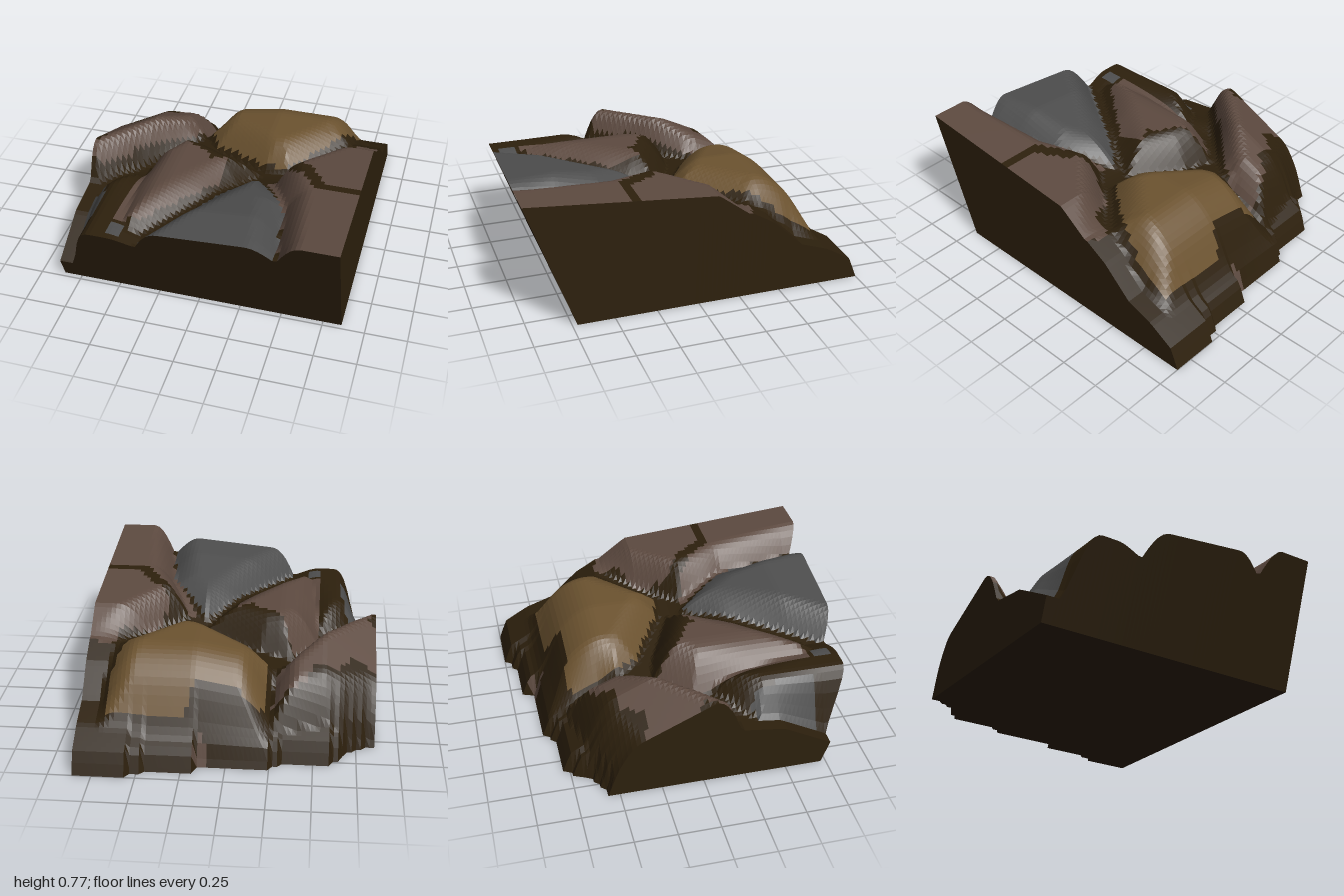
import * as THREE from 'three';

const W = 0.86, FOOT = 0.72, LEAN = 0.364, NX = 64, NZ = 76;

// Stepped rear outline: [x start, z]
const REAR = [[-0.86, -0.57], [-0.79, -0.6], [-0.75, -0.63], [-0.69, -0.68], [-0.65, -0.74], [-0.61, -0.79],
  [-0.32, -0.82], [-0.25, -0.86], [0.17, -0.93], [0.46, -0.96], [0.54, -1]];
// Rise of the ground with distance from the rear edge
const SKIRT = [[0, 0], [0.05, 0.13], [0.2, 0.22], [0.37, 0.28], [0.55, 0.45], [0.8, 0.6]];
// Floor of the gully at the left front, by z
const GULLY = [[-0.1, 0.4], [0.2, 0.34], [0.48, 0.3], [0.77, 0.14], [1, 0.14]];

// Each rock: foot outline (x, z), top surface and width of the rounded sides
const ROCKS = [
  { foot: [[-0.24, -0.84], [0.75, -0.85], [0.74, -0.58], [0.69, -0.35], [0.36, 0], [0.2, -0.02], [-0.17, -0.24], [-0.25, -0.36]],
    top: (x, z) => 0.605 - 2.6 * Math.max(0, -z - 0.43) ** 2 - 0.18 * Math.max(0, 0.2 - x), w: 0.2 },
  { foot: [[-1.2, -0.5], [-0.86, -0.53], [-0.7, -0.62], [-0.24, -0.72], [-0.25, -0.37], [-0.42, -0.17], [-0.8, 0.22], [-1.2, 0.22]],
    top: (x, z) => 0.61 - 0.7 * Math.max(0, -0.74 * (x + 0.35) - 0.67 * (z + 0.4)) - 0.5 * Math.max(0, x + 0.56), w: 0.17 },
  { foot: [[-0.52, 0.02], [-0.35, -0.2], [-0.15, -0.15], [0.2, 0.02], [0.1, 0.2], [-0.38, 0.84], [-0.52, 0.76]],
    top: (x) => Math.min(0.6, 0.6 + 0.2 * (x + 0.28)), w: 0.19 },
  { foot: [[0.2, 0.08], [0.42, 0.42], [0.5, 0.9], [0.5, 1.3], [-0.6, 1.3], [0.1, 0.25]],
    top: (x, z) => 0.663 + 0.09 * x - 0.18 * Math.max(0, 0.7 - z), w: 0.17 },
  { foot: [[0.5, 1.3], [0.5, 0.9], [0.45, 0.45], [0.31, 0.14], [0.42, 0], [0.7, -0.3], [0.72, -0.7], [1.3, -0.7], [1.3, 1.3]],
    top: (x, z) => Math.min(0.77 - 0.09 * (1 - z), 0.67 + 0.75 * (z + 0.11)), w: 0.15 },
  { foot: [[-0.77, 0.36], [-0.7, 0.27], [-0.5, 0.12], [-0.32, 0.8], [-0.32, 1.3], [-0.77, 1.3]],
    top: () => 0.52, w: 0.18 },
];

// Coloured patches on the surface (x, z)
const PATCHES = [
  ['goldRock', [[-0.2, -0.68], [0.18, -0.65], [0.24, -0.77], [0.71, -0.76], [0.71, -0.58], [0.65, -0.43], [0.59, -0.32], [0.35, -0.03], [0.2, -0.05], [-0.15, -0.25], [-0.22, -0.36]]],
  ['brownRock', [[-0.9, -0.36], [-0.73, -0.3], [-0.62, -0.45], [-0.5, -0.45], [-0.45, -0.55], [-0.25, -0.62], [-0.28, -0.39], [-0.46, -0.19], [-0.8, 0.16], [-0.9, 0.18], [-0.8, 0], [-0.9, -0.04]]],
  ['brownRock', [[-0.5, 0], [-0.36, -0.17], [-0.27, 0], [-0.13, 0.06], [-0.1, 0.13], [0, 0.08], [0, 0.27], [-0.35, 0.7], [-0.5, 0.75]]],
  ['greyRock', [[0.2, 0.12], [0.32, 0.3], [0.45, 0.5], [0.5, 1.1], [-0.5, 1.1], [-0.3, 0.84], [0.1, 0.25]]],
  ['brownRock', [[0.42, 0.08], [0.5, -0.12], [0.68, -0.2], [0.72, -0.35], [0.9, -0.3], [0.9, 0.33], [0.64, 0.33], [0.56, 0.2]]],
  ['brownRock', [[0.25, 0.12], [0.42, 0.18], [0.52, 0.27], [0.6, 0.4], [0.9, 0.4], [0.9, 1.1], [0.5, 1.1], [0.5, 0.9], [0.45, 0.5]]],
  ['greyRock', [[-0.78, 0.36], [-0.72, 0.32], [-0.68, 0.36], [-0.65, 0.5], [-0.65, 0.72], [-0.78, 0.72]]],
  ['greyRock', [[-0.5, 0.76], [-0.42, 0.78], [-0.43, 0.87], [-0.5, 0.87]]],
  ['brownRock', [[0.11, -0.86], [0.18, -0.88], [0.17, -0.8], [0.14, -0.77]]],
];

const clamp = THREE.MathUtils.clamp;

function ramp(points, t) {
  if (t <= points[0][0]) return points[0][1];
  for (let i = 1; i < points.length; i++) {
    const [a, ya] = points[i - 1], [b, yb] = points[i];
    if (t <= b) return ya + (yb - ya) * (t - a) / (b - a);
  }
  return points[points.length - 1][1];
}

// Distance inside an outline; 0 when outside
function depthInside(poly, x, z) {
  let inside = false, best = Infinity;
  poly.forEach(([ax, az], i) => {
    const [bx, bz] = poly[(i + 1) % poly.length];
    if ((az > z) !== (bz > z) && x < ax + (bx - ax) * (z - az) / (bz - az)) inside = !inside;
    const dx = bx - ax, dz = bz - az;
    const t = clamp(((x - ax) * dx + (z - az) * dz) / (dx * dx + dz * dz), 0, 1);
    best = Math.min(best, Math.hypot(x - ax - t * dx, z - az - t * dz));
  });
  return inside ? best : 0;
}

function rearEdge(x) {
  let z = REAR[0][1];
  for (const [sx, sz] of REAR) if (x >= sx) z = sz;
  return z;
}

function height(x, z) {
  // Ground between the rocks
  let floor = 0.515 + 0.14 * x - 0.1 * THREE.MathUtils.smoothstep(0.4 - z, 0, 0.4);
  const gully = 1 - THREE.MathUtils.smoothstep(x, -0.74, -0.58);
  floor += (ramp(GULLY, z) - floor) * gully;
  const ground = Math.min(ramp(SKIRT, z - rearEdge(x)), floor);
  // Rocks rise out of it with rounded shoulders
  let y = ground;
  for (const { foot, top, w } of ROCKS) {
    const t = Math.min(1, depthInside(foot, x, z) / w);
    if (t > 0) y = Math.max(y, ground + (top(x, z) - ground) * Math.sin(t * Math.PI / 2));
  }
  return y;
}

// Front rim lies on the leaning front plane
function frontEdge(x) {
  let z = 0.9;
  for (let k = 0; k < 12; k++) z = FOOT + LEAN * height(x, z);
  return z;
}

export function createModel() {
  const group = new THREE.Group();
  const paint = (name, color) => Object.assign(new THREE.MeshStandardMaterial({ color }), { name });
  const materials = {
    earth: paint('dark earth', 0x2d200d),
    brownRock: paint('dusty brown', 0x5d4a40),
    goldRock: paint('ochre', 0x6c5330),
    greyRock: paint('grey', 0x4e4e4e),
  };
  const faces = { earth: [], brownRock: [], goldRock: [], greyRock: [], sides: [] };
  const tri = (list, ...corners) => corners.forEach((c) => list.push(...c));
  const quad = (list, a, b, c, d) => { tri(list, a, b, c); tri(list, a, c, d); };

  // Grid of surface points, trimmed to the rear and front edges
  const grid = [];
  for (let i = 0; i <= NX; i++) {
    const x = -W + 2 * W * i / NX, back = rearEdge(x), front = frontEdge(x);
    grid.push(Array.from({ length: NZ + 1 }, (_, j) => {
      const z = j === NZ ? front : clamp(-1 + 2 * j / NZ, back, front);
      return [x, height(x, z), z];
    }));
  }

  // Upper surface, sorted by colour
  for (let i = 0; i < NX; i++) {
    for (let j = 0; j < NZ; j++) {
      const a = grid[i][j], b = grid[i][j + 1], c = grid[i + 1][j + 1], d = grid[i + 1][j];
      if (b[2] - a[2] + c[2] - d[2] < 1e-6) continue;
      const mx = (a[0] + c[0]) / 2, mz = (a[2] + b[2] + c[2] + d[2]) / 4;
      const patch = PATCHES.find(([, poly]) => depthInside(poly, mx, mz) > 0);
      quad(faces[patch ? patch[0] : 'earth'], a, b, c, d);
    }
  }

  // Side walls
  const drop = ([x, , z]) => [x, 0, Math.min(z, FOOT)];
  for (let j = 0; j < NZ; j++) {
    const [l0, l1, r0, r1] = [grid[0][j], grid[0][j + 1], grid[NX][j], grid[NX][j + 1]];
    quad(faces.sides, drop(r1), drop(r0), r0, r1);
    quad(faces.sides, drop(l0), drop(l1), l1, l0);
  }
  // Leaning front wall, low rear lip and underside
  for (let i = 0; i < NX; i++) {
    const f0 = grid[i][NZ], f1 = grid[i + 1][NZ], b0 = grid[i][0], b1 = grid[i + 1][0];
    quad(faces.sides, drop(f0), drop(f1), f1, f0);
    quad(faces.sides, drop(b1), drop(b0), b0, b1);
    quad(faces.sides, drop(b0), drop(b1), drop(f1), drop(f0));
  }

  for (const [name, list] of Object.entries(faces)) {
    const geometry = new THREE.BufferGeometry();
    geometry.setAttribute('position', new THREE.Float32BufferAttribute(list, 3));
    geometry.computeVertexNormals();
    const mesh = new THREE.Mesh(geometry, materials[name] || materials.earth);
    mesh.name = name === 'sides' ? 'baseWalls' : name;
    group.add(mesh);
  }
  return group;
}
